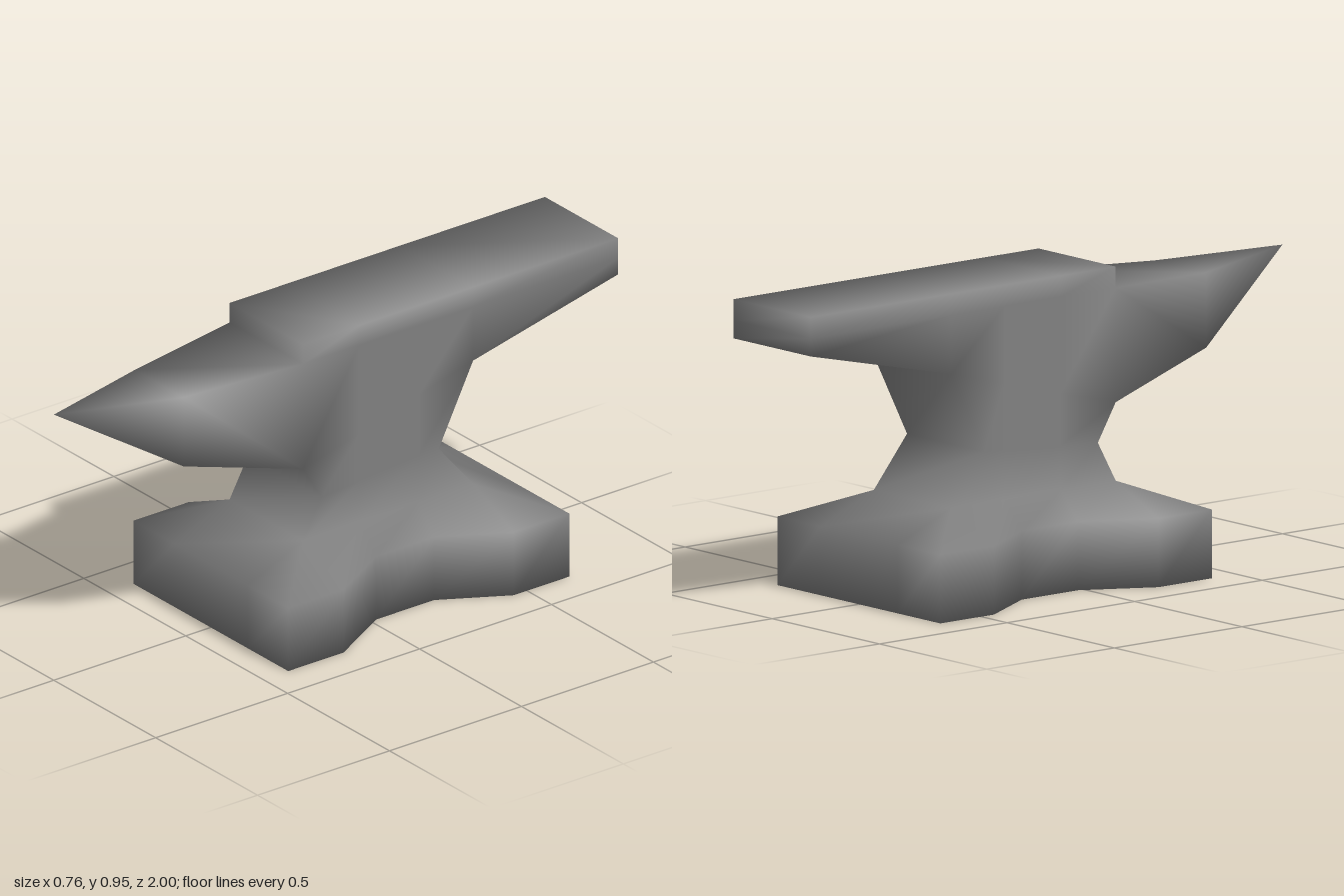
import * as THREE from 'three';

const W = 0.18; // half width of the body

// Collects triangles, skipping collapsed ones.
function tri(out, a, b, c) {
  const [A, B, C] = [a, b, c].map((p) => new THREE.Vector3(...p));
  if (B.sub(A).cross(C.sub(A)).length() > 1e-7) out.push(...a, ...b, ...c);
}

function quad(out, a, b, c, d) {
  tri(out, a, b, c);
  tri(out, a, c, d);
}

// Joins two rings of equal point count with quads.
function bridge(out, r0, r1) {
  r0.forEach((p, j) => {
    const k = (j + 1) % r0.length;
    quad(out, p, r0[k], r1[k], r1[j]);
  });
}

// Waisted foot with sloping shoulders up to the body
function buildBase() {
  const out = [];
  const outer = [
    [W, 0.405], [0.38, 0.405], [0.38, 0.195], [0.26, -0.02],
    [0.26, -0.24], [0.38, -0.45], [0.38, -0.66], [W, -0.66],
  ];
  const inner = [0.195, 0.195, 0.195, -0.02, -0.24, -0.45, -0.45, -0.45].map((z) => [W, z]);
  const ring = (half, y) => [
    ...half.map(([x, z]) => [x, y, z]),
    ...half.map(([x, z]) => [-x, y, z]).reverse(),
  ];
  const rim = ring(outer, 0.21);
  bridge(out, ring(outer, 0), rim);
  bridge(out, rim, ring(inner, 0.295));

  // underside in three strips
  const edge = outer.slice(1, 7);
  const lines = [
    edge.map(([x, z]) => [-x, 0, z]),
    edge.map(([, z]) => [-W, 0, z]),
    edge.map(([, z]) => [W, 0, z]),
    edge.map(([x, z]) => [x, 0, z]),
  ];
  for (let s = 0; s < 3; s++) {
    const [l, r] = [lines[s], lines[s + 1]];
    for (let i = 0; i < 5; i++) quad(out, l[i], l[i + 1], r[i + 1], r[i]);
  }
  return out;
}

// Waist, face and heel: a side grid of (z, y) points spanned across the width
function buildBody() {
  const out = [];
  const grid = [
    [[0.195, 0.295], [-0.02, 0.295], [-0.24, 0.295], [-0.45, 0.295]],
    [[0.125, 0.42], [-0.02, 0.43], [-0.24, 0.445], [-0.32, 0.45]],
    [[0.195, 0.535], [-0.02, 0.59], [-0.24, 0.65], [-0.45, 0.705], [-1, 0.83]],
    [0.195, -0.02, -0.24, -0.45, -1].map((z) => [z, 0.885]),
    [0.195, -0.02, -0.24, -0.45, -1].map((z) => [z, 0.95]),
  ];
  const at = ([z, y], x) => [x, y, z];

  // both flanks
  for (let r = 0; r < 4; r++) {
    for (let c = 0; c < grid[r].length - 1; c++) {
      const cell = [grid[r][c], grid[r][c + 1], grid[r + 1][c + 1], grid[r + 1][c]];
      quad(out, ...cell.map((p) => at(p, W)));
      quad(out, ...cell.map((p) => at(p, -W)).reverse());
    }
  }
  // front, top, heel end, heel underside and back
  const outline = [
    ...grid.slice(0, 4).map((row) => row[0]), ...grid[4],
    grid[3][4], grid[2][4], grid[2][3], grid[1][3], grid[0][3],
  ];
  for (let i = 0; i < outline.length - 1; i++) {
    if (i === 2) continue; // the horn grows from here
    const [p, q] = [outline[i], outline[i + 1]];
    quad(out, at(p, -W), at(p, W), at(q, W), at(q, -W));
  }
  return out;
}

// Horn tapering to a point
function buildHorn() {
  const out = [];
  const section = (w, lo, hi, z) => [[-w, lo, z], [w, lo, z], [w, hi, z], [-w, hi, z]];
  const sections = [
    section(W, 0.535, 0.885, 0.195),
    section(0.12, 0.64, 0.87, 0.6),
    section(0, 0.885, 0.885, 1),
  ];
  for (let i = 0; i < 2; i++) bridge(out, sections[i], sections[i + 1]);
  return out;
}

// Smooth normals, each face weighted by its angle at the shared corner
function smoothNormals(points) {
  const sums = new Map();
  const corners = [];
  for (let i = 0; i < points.length; i += 9) {
    const t = [0, 3, 6].map((k) => new THREE.Vector3().fromArray(points, i + k));
    const normal = new THREE.Triangle(...t).getNormal(new THREE.Vector3());
    t.forEach((p, k) => {
      const u = t[(k + 1) % 3].clone().sub(p);
      const v = t[(k + 2) % 3].clone().sub(p);
      const key = p.toArray().map((n) => Math.round(n * 1e4)).join();
      if (!sums.has(key)) sums.set(key, new THREE.Vector3());
      sums.get(key).addScaledVector(normal, u.angleTo(v));
      corners.push(key);
    });
  }
  sums.forEach((n) => n.normalize());
  return corners.flatMap((key) => sums.get(key).toArray());
}

export function createModel() {
  const group = new THREE.Group();
  group.name = 'anvil';
  const parts = { base: buildBase(), body: buildBody(), horn: buildHorn() };

  // Normals are shared across the parts so the joins stay soft.
  const normals = smoothNormals(Object.values(parts).flat());
  const material = new THREE.MeshStandardMaterial({ color: 0x808080 });
  let start = 0;
  for (const [name, points] of Object.entries(parts)) {
    const end = start + points.length;
    const geometry = new THREE.BufferGeometry();
    geometry.setAttribute('position', new THREE.Float32BufferAttribute(points, 3));
    geometry.setAttribute('normal', new THREE.Float32BufferAttribute(normals.slice(start, end), 3));
    start = end;
    const mesh = new THREE.Mesh(geometry, material);
    mesh.name = name;
    group.add(mesh);
  }
  return group;
}
